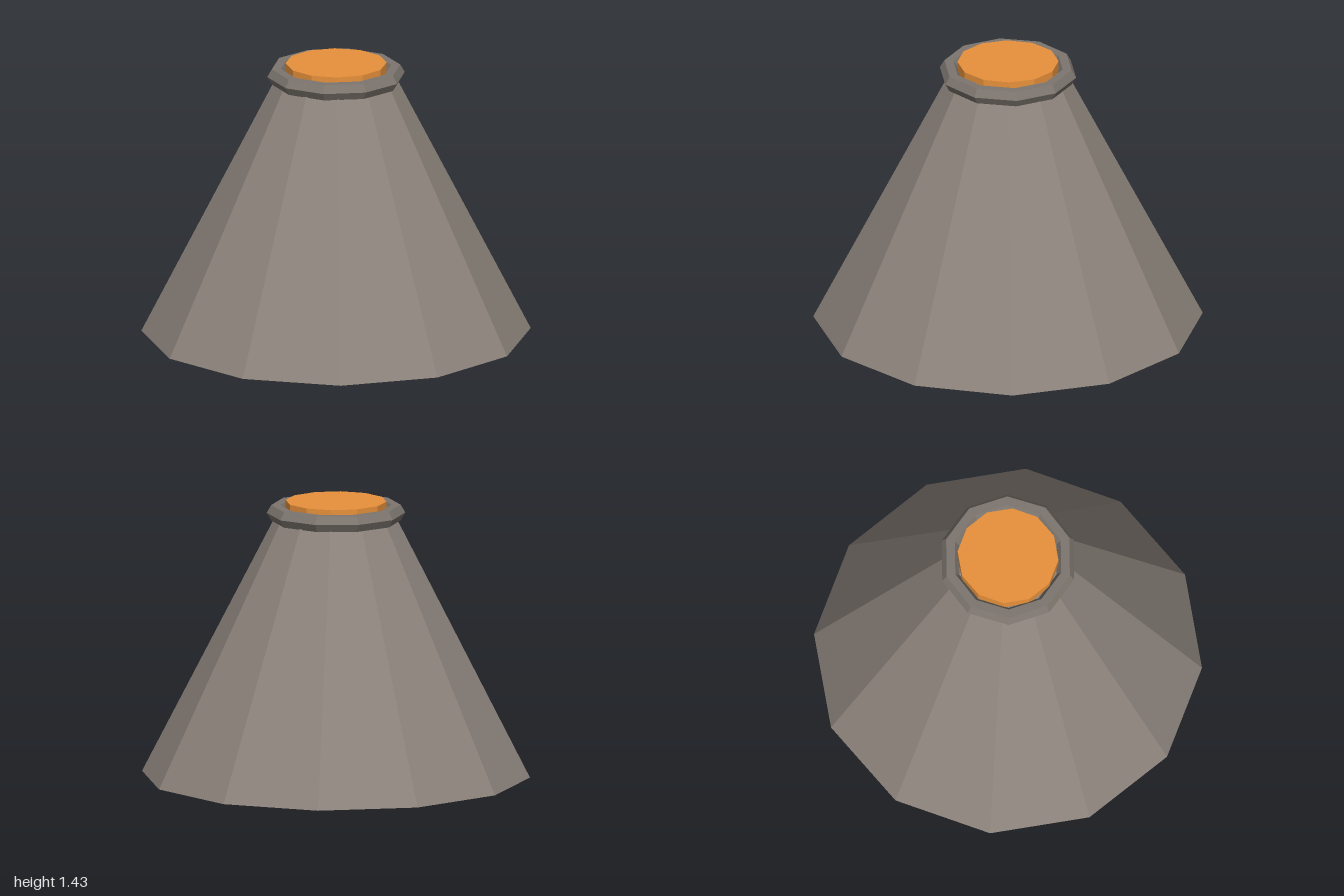
import * as THREE from 'three';

function addPart(group, name, geometry, color, y) {
  const material = new THREE.MeshStandardMaterial({ color, flatShading: true });
  const mesh = new THREE.Mesh(geometry, material);
  mesh.name = name;
  mesh.position.y = y;
  group.add(mesh);
  return mesh;
}

export function createModel() {
  const model = new THREE.Group();
  model.name = 'volcano';

  // Twelve-sided mountain, closed at both ends
  const height = 1.367;
  addPart(model, 'mountain', new THREE.CylinderGeometry(0.3, 1, height, 12), 0x8d847c, height / 2);

  // Ten-sided crater rim with a hexagonal section
  const rim = addPart(model, 'craterRim', new THREE.TorusGeometry(0.309, 0.047, 6, 10), 0x7d766f, height);
  rim.rotation.x = Math.PI / 2;

  // Lava plug standing just above the rim
  addPart(model, 'lava', new THREE.CylinderGeometry(0.26, 0.26, 0.09, 12), 0xe8913a, 1.384);

  return model;
}
